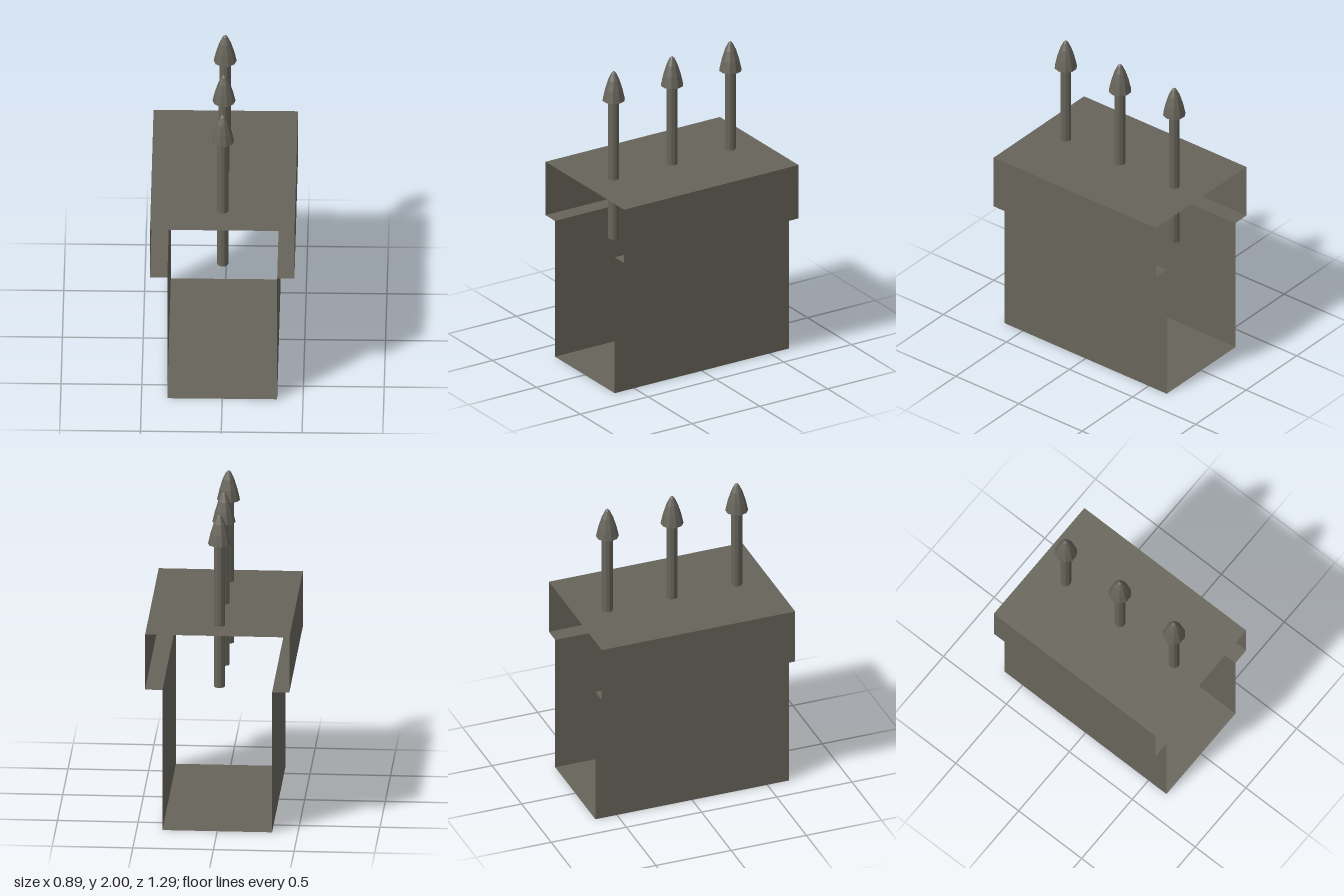
import * as THREE from 'three';

export function createModel() {
  const model = new THREE.Group();
  model.name = 'spikedChannel';

  const sheet = new THREE.MeshStandardMaterial({ color: 0x67645a });
  sheet.name = 'dull grey metal';
  sheet.side = THREE.DoubleSide;
  sheet.flatShading = true;

  // Open-ended sheet duct: T-shaped cross-section, counter-clockwise from the front
  const section = [
    [-0.34, 0], [0.34, 0], [0.34, 0.915], [0.447, 0.915],
    [0.447, 1.275], [-0.447, 1.275], [-0.447, 0.915], [-0.34, 0.915],
  ];
  const halfLength = 0.643;
  const corners = [];
  section.forEach(([x0, y0], i) => {
    const [x1, y1] = section[(i + 1) % section.length];
    const a = [x0, y0, halfLength], b = [x0, y0, -halfLength];
    const c = [x1, y1, -halfLength], d = [x1, y1, halfLength];
    corners.push(...a, ...b, ...c, ...a, ...c, ...d);
  });
  // Reverse nothing for the ends: both stay open
  const ductGeometry = new THREE.BufferGeometry();
  ductGeometry.setAttribute('position', new THREE.Float32BufferAttribute(corners, 3));
  ductGeometry.computeVertexNormals();
  const duct = new THREE.Mesh(ductGeometry, sheet);
  duct.name = 'duct';
  model.add(duct);

  // Ten-sided rod and pointed, bulging head shared by the three spikes
  const rodGeometry = new THREE.CylinderGeometry(0.035, 0.035, 0.93, 10);
  rodGeometry.translate(0, 1.34, 0);
  const headProfile = [[0, 1.805], [0.0715, 1.805], [0.056, 1.875], [0.036, 1.94], [0.015, 1.985], [0, 2]]
    .map(([r, y]) => new THREE.Vector2(r, y));
  const headGeometry = new THREE.LatheGeometry(headProfile, 10);

  for (const z of [-0.43, 0, 0.43]) {
    const spike = new THREE.Group();
    spike.name = 'spike';
    const rod = new THREE.Mesh(rodGeometry, sheet);
    rod.name = 'spikeRod';
    const head = new THREE.Mesh(headGeometry, sheet);
    head.name = 'spikeHead';
    spike.add(rod, head);
    spike.rotation.y = Math.PI / 2;
    spike.position.z = z;
    model.add(spike);
  }

  return model;
}
